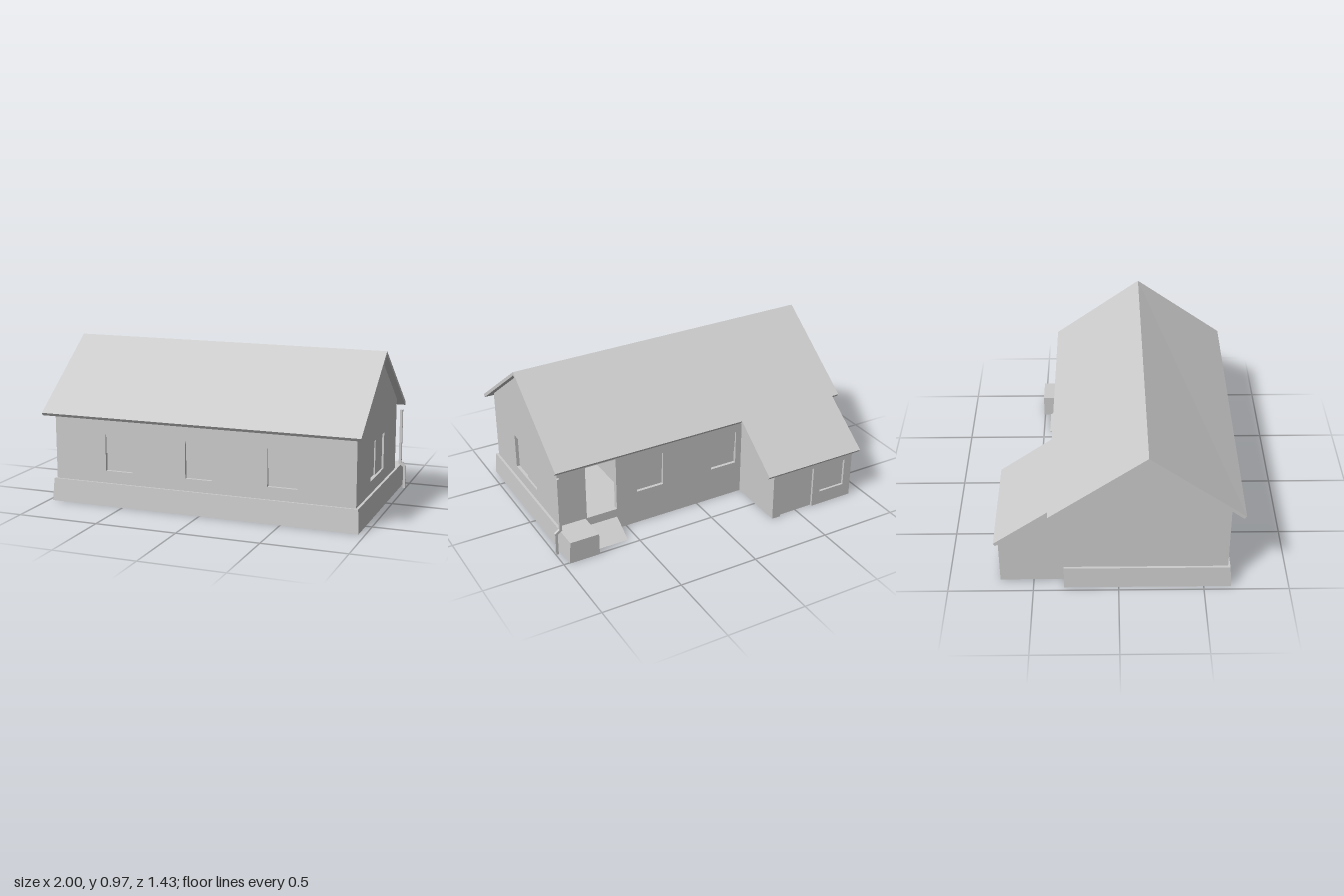
import * as THREE from 'three';

const mat = new THREE.MeshStandardMaterial({ color: 0xcccccc, flatShading: true, side: THREE.DoubleSide });
const T = 0.03; // wall thickness
const RIDGE = { z: 0.158, y: 0.965 }, SLOPE = 0.73;
const roofY = z => RIDGE.y - SLOPE * Math.abs(z - RIDGE.z);
const under = z => roofY(z) - 0.022;

function add(parent, name, geo) {
  const m = new THREE.Mesh(geo, mat);
  m.name = name;
  parent.add(m);
  return m;
}
const poly = pts => new THREE.Shape(pts.map(p => new THREE.Vector2(p[0], p[1])));
const rect = (a0, a1, b0, b1) => [[a0, b0], [a1, b0], [a1, b1], [a0, b1]];

// Outline with holes, each given by its corner points
function outline(pts, holes) {
  const s = poly(pts);
  s.holes = holes.map(poly);
  return s;
}
// Panel with rectangular openings, [a0, a1, b0, b1] each
const panel = (pts, openings, depth) =>
  new THREE.ExtrudeGeometry(outline(pts, openings.map(o => rect(...o))), { depth, bevelEnabled: false });
// Panel drawn in x,y and running back from z1 by depth
const wallZ = (pts, openings, z1, depth = T) => panel(pts, openings, depth).translate(0, 0, z1 - depth);
// Panel drawn in z,y and running from x0 to x1
const wallX = (pts, openings, x0, x1) => panel(pts, openings, x1 - x0).rotateY(-Math.PI / 2).translate(x1, 0, 0);
// Horizontal sheet drawn in x,z
const sheet = (pts, holes, y) => new THREE.ShapeGeometry(outline(pts, holes)).rotateX(Math.PI / 2).translate(0, y, 0);
// Box given by its limits
const block = (x0, x1, y0, y1, z0, z1) => new THREE.BoxGeometry(x1 - x0, y1 - y0, z1 - z0)
  .translate((x0 + x1) / 2, (y0 + y1) / 2, (z0 + z1) / 2);

// Open skin between a lower and an upper plan outline of [x, z] points
function skin(low, y0, high, y1, closed) {
  const pos = [], n = low.length;
  for (let i = 0; i < (closed ? n : n - 1); i++) {
    const j = (i + 1) % n;
    const a = [low[i][0], y0, low[i][1]], b = [low[j][0], y0, low[j][1]];
    const c = [high[j][0], y1, high[j][1]], d = [high[i][0], y1, high[i][1]];
    pos.push(...a, ...b, ...c, ...a, ...c, ...d);
  }
  const g = new THREE.BufferGeometry();
  g.setAttribute('position', new THREE.Float32BufferAttribute(pos, 3));
  g.computeVertexNormals();
  return g;
}

// Two panes facing local +z, one set in front of the other
function sashWindow(parent, name, w, h, sideways) {
  const g = new THREE.Group();
  g.name = name;
  if (sideways) {
    add(g, 'rearSash', block(-w / 2, 0.005, -h / 2, h / 2, -0.028, -0.02));
    add(g, 'frontSash', block(-0.005, w / 2, -h / 2, h / 2, -0.02, -0.012));
  } else {
    add(g, 'lowerSash', block(-w / 2, w / 2, -h / 2, 0.005, -0.028, -0.02));
    add(g, 'upperSash', block(-w / 2, w / 2, -0.005, h / 2, -0.02, -0.012));
  }
  parent.add(g);
  return g;
}

// Windows filling a list of openings in a wall along x
function fillWindows(parent, name, openings, z, back) {
  openings.forEach(([x0, x1, y0, y1]) => {
    const w = sashWindow(parent, name, x1 - x0, y1 - y0, false);
    w.position.set((x0 + x1) / 2, (y0 + y1) / 2, z);
    if (back) w.rotation.y = Math.PI;
  });
}

export function createModel() {
  const house = new THREE.Group();
  house.name = 'house';
  const L = -0.95, R = 0.94, F = 0.638, B = -0.32, FLOOR = 0.14, CEILING = 0.54;

  // Main walls
  const frontOpen = [[-0.615, -0.44, 0.215, 0.44], [-0.095, 0.075, 0.215, 0.44], [0.415, 0.595, 0.215, 0.44]];
  const backOpen = [[0.24, 0.42, 0.22, 0.44], [-0.28, -0.1, 0.22, 0.44]];
  add(house, 'frontWall', wallZ(rect(L, R, FLOOR, under(F)), frontOpen, F));
  // The door opening breaks the lower edge of the wall
  add(house, 'backWall', wallZ([[L, FLOOR], [0.56, FLOOR], [0.56, 0.49], [0.76, 0.49], [0.76, FLOOR],
    [R, FLOOR], [R, under(B)], [L, under(B)]], backOpen, B + T));
  fillWindows(house, 'frontWindow', frontOpen, F, false);
  fillWindows(house, 'backWindow', backOpen, B, true);

  const gable = [[B, FLOOR], [F, FLOOR], [F, under(F)], [RIDGE.z, under(RIDGE.z)], [B, under(B)]];
  add(house, 'rightGable', wallX(gable, [], L, L + T));
  add(house, 'leftGable', wallX(gable, [[0, 0.32, 0.215, 0.44]], R - T, R));
  const side = sashWindow(house, 'gableWindow', 0.32, 0.225, true);
  side.position.set(R, 0.3275, 0.16);
  side.rotation.y = Math.PI / 2;

  // Hollow foundation, flaring outward at the ground
  const footing = rect(-0.975, 0.963, B, 0.661), ledge = rect(-0.965, 0.955, B, 0.651);
  add(house, 'foundation', skin(footing, 0, ledge, FLOOR, true));

  // Hollow partitions standing in slots of the floor
  const partitions = [
    [[0.42, -0.12], [0.44, -0.12], [0.44, 0.38], [-0.34, 0.38], [-0.34, 0.36],
      [-0.1, 0.36], [-0.1, 0.28], [-0.08, 0.28], [-0.08, 0.36], [0.42, 0.36]],
    rect(L + T, -0.58, 0.36, 0.38),
    rect(-0.1, -0.08, -0.03, 0.03),
  ];
  partitions.forEach(p => add(house, 'partition', skin(p, FLOOR, p, CEILING, true)));
  add(house, 'floor', sheet(ledge, partitions, FLOOR));
  add(house, 'ceiling', sheet(rect(L + T, R - T, B + T, F - T), [], CEILING));

  // Roof: two pitches, with the rear one carried on over the extension
  const nz = 0.012, ny = 0.017;
  const pitch = (z0, z1) => {
    const s = Math.sign(z1 - z0) * nz;
    return [[z0, roofY(z0)], [z1, roofY(z1)], [z1 - s, roofY(z1) - ny],
      z0 === RIDGE.z ? [z0, roofY(z0) - 0.022] : [z0 - s, roofY(z0) - ny]];
  };
  [['frontRoof', 0.715], ['backRoof', -0.4]].forEach(([name, eave]) => {
    const geo = wallX(pitch(RIDGE.z, eave), [], -1, 0.98), p = geo.attributes.position;
    // The ridge sinks slightly toward +x
    for (let i = 0; i < p.count; i++) {
      if (Math.abs(p.getZ(i) - RIDGE.z) > 0.001) continue;
      p.setY(i, p.getY(i) - 0.005 * p.getX(i));
      p.setZ(i, p.getZ(i) - 0.004 * p.getX(i));
    }
    add(house, name, geo);
  });
  add(house, 'extensionRoof', wallX(pitch(-0.4, -0.72), [], -0.95, -0.27));

  // Rear extension
  const ext = new THREE.Group();
  ext.name = 'extension';
  house.add(ext);
  const E0 = -0.905, E1 = -0.32, EZ = -0.698, D = 0.02;
  const extSide = [[EZ, 0], [B, 0], [B, under(B)], [EZ, under(EZ)]];
  const extWin = [-0.85, -0.672, 0.09, 0.27];
  [E0, E1].forEach(x => add(ext, 'sideWall',
    new THREE.ShapeGeometry(poly(extSide)).rotateY(-Math.PI / 2).translate(x, 0, 0)));
  add(ext, 'rearWall', wallZ([[E0, 0], [-0.616, 0], [-0.616, 0.275], [-0.376, 0.275], [-0.376, 0],
    [E1, 0], [E1, under(EZ)], [E0, under(EZ)]], [extWin], EZ + D, D));
  add(ext, 'door', block(-0.616, -0.376, 0, 0.275, EZ + 0.015, EZ + D));
  add(ext, 'extensionWindow', block(...extWin, EZ + 0.015, EZ + D));

  // Hollow porch block and sloped step at the back door
  const porchFoot = [[0.77, B], [0.77, -0.506], [0.963, -0.506], [0.963, B]];
  const porchTop = porchFoot.map(([x, z]) => [Math.min(x, 0.955), z]);
  add(house, 'porchSides', skin(porchFoot, 0, porchTop, FLOOR, false));
  add(house, 'porchTop', sheet(porchTop, [], FLOOR));
  add(house, 'doorStep', skin([[0.56, -0.46], [0.77, -0.46]], 0, [[0.56, B], [0.77, B]], 0.085, false));
  add(house, 'doorStepSide', new THREE.ShapeGeometry(poly([[-0.46, 0], [B, 0], [B, 0.085]]))
    .rotateY(-Math.PI / 2).translate(0.56, 0, 0));

  // Square downpipe, stepping out around the porch
  add(house, 'downpipe', wallZ([[0.952, 0.51], [0.952, 0.158], [0.982, 0.138], [0.982, 0],
    [0.998, 0], [0.998, 0.146], [0.968, 0.166], [0.968, 0.51]], [], -0.374, 0.016));

  return house;
}
